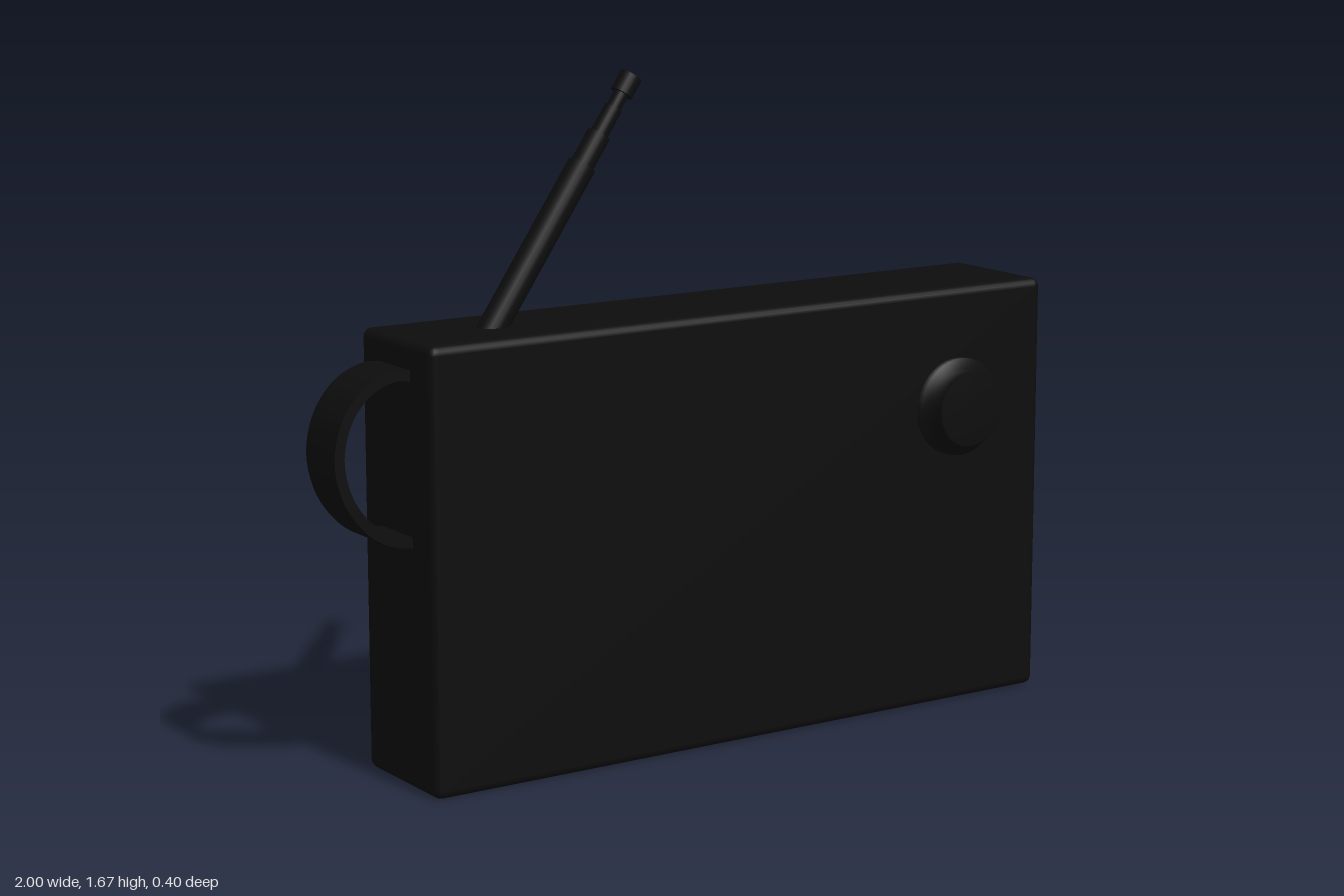
import * as THREE from 'three';
import { RoundedBoxGeometry } from 'three/addons/geometries/RoundedBoxGeometry.js';

export function createModel() {
  const group = new THREE.Group();
  const black = new THREE.MeshStandardMaterial({ color: 0x0d0d0d });

  function add(name, geometry, parent = group) {
    const mesh = new THREE.Mesh(geometry, black);
    mesh.name = name;
    parent.add(mesh);
    return mesh;
  }

  // Case with softened edges
  add('case', new RoundedBoxGeometry(1.8, 1.08, 0.335, 2, 0.022)).position.set(0.1, 0.54, -0.03);

  // Tuning dial: wide flange, then knob, turned as one profile around z
  const dialProfile = [[0, 0], [0.125, 0], [0.125, 0.023], [0.097, 0.023], [0.097, 0.063], [0.092, 0.068], [0, 0.068]];
  const dialGeometry = new THREE.LatheGeometry(dialProfile.map(([r, h]) => new THREE.Vector2(r, h)), 40);
  dialGeometry.rotateX(Math.PI / 2);
  add('tuningDial', dialGeometry).position.set(0.727, 0.775, 0.132);

  // Telescopic antenna: [radius, start, end] along its leaning axis
  const antenna = new THREE.Group();
  antenna.name = 'antenna';
  antenna.position.set(-0.535, 1.08, -0.03);
  antenna.rotation.z = -Math.atan2(0.388, 0.567);
  const sections = [
    [0.035, -0.05, 0.442],
    [0.029, 0.44, 0.527],
    [0.022, 0.525, 0.6],
    [0.018, 0.598, 0.65],
    [0.028, 0.64, 0.69],
  ];
  sections.forEach(([r, from, to], i) => {
    const name = i === sections.length - 1 ? 'antennaTip' : 'antennaSection' + (i + 1);
    add(name, new THREE.CylinderGeometry(r, r, to - from, 20), antenna).position.y = (from + to) / 2;
  });
  group.add(antenna);

  // Wrist strap: a flat band looping out of the right side
  const path = new THREE.SplineCurve([
    [-0.78, 0.995], [-0.84, 1.003], [-0.91, 0.975], [-0.965, 0.91], [-0.987, 0.82],
    [-0.968, 0.73], [-0.92, 0.66], [-0.86, 0.618], [-0.78, 0.6],
  ].map(([x, y]) => new THREE.Vector2(x, y)));
  const outer = [], inner = [];
  for (let i = 0; i <= 36; i++) {
    const p = path.getPoint(i / 36), t = path.getTangent(i / 36);
    const side = new THREE.Vector2(t.y, -t.x).multiplyScalar(0.013);
    outer.push(p.clone().add(side));
    inner.unshift(p.clone().sub(side));
  }
  const strap = new THREE.ExtrudeGeometry(new THREE.Shape([...outer, ...inner]), { depth: 0.14, bevelEnabled: false });
  add('wristStrap', strap).position.z = -0.1;

  return group;
}
